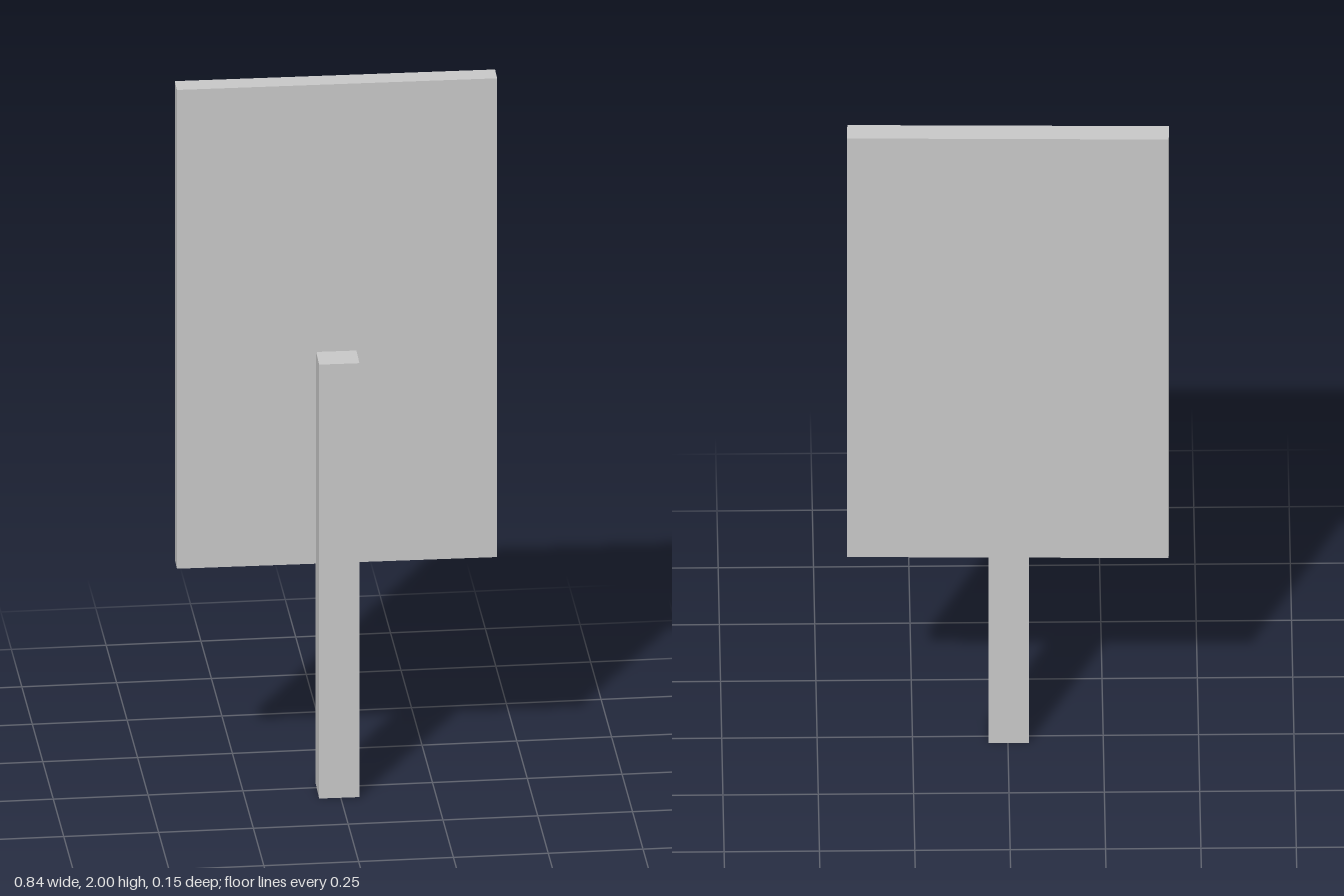
import * as THREE from 'three';

export function createModel() {
  const model = new THREE.Group();
  const material = new THREE.MeshStandardMaterial({ color: 0xcccccc, flatShading: true });

  // Box given by its size, centre and bottom height
  const addBoard = (name, width, height, depth, x, bottom, z) => {
    const mesh = new THREE.Mesh(new THREE.BoxGeometry(width, height, depth), material);
    mesh.name = name;
    mesh.position.set(x, bottom + height / 2, z);
    mesh.rotation.y = -0.018; // whole sign is turned very slightly
    model.add(mesh);
  };

  // Flat sign board, with the post overlapping its front face
  addBoard('signPanel', 0.843, 1.366, 0.059, 0, 0.634, -0.04);
  addBoard('post', 0.106, 1.238, 0.104, -0.003, 0, 0.022);

  return model;
}
